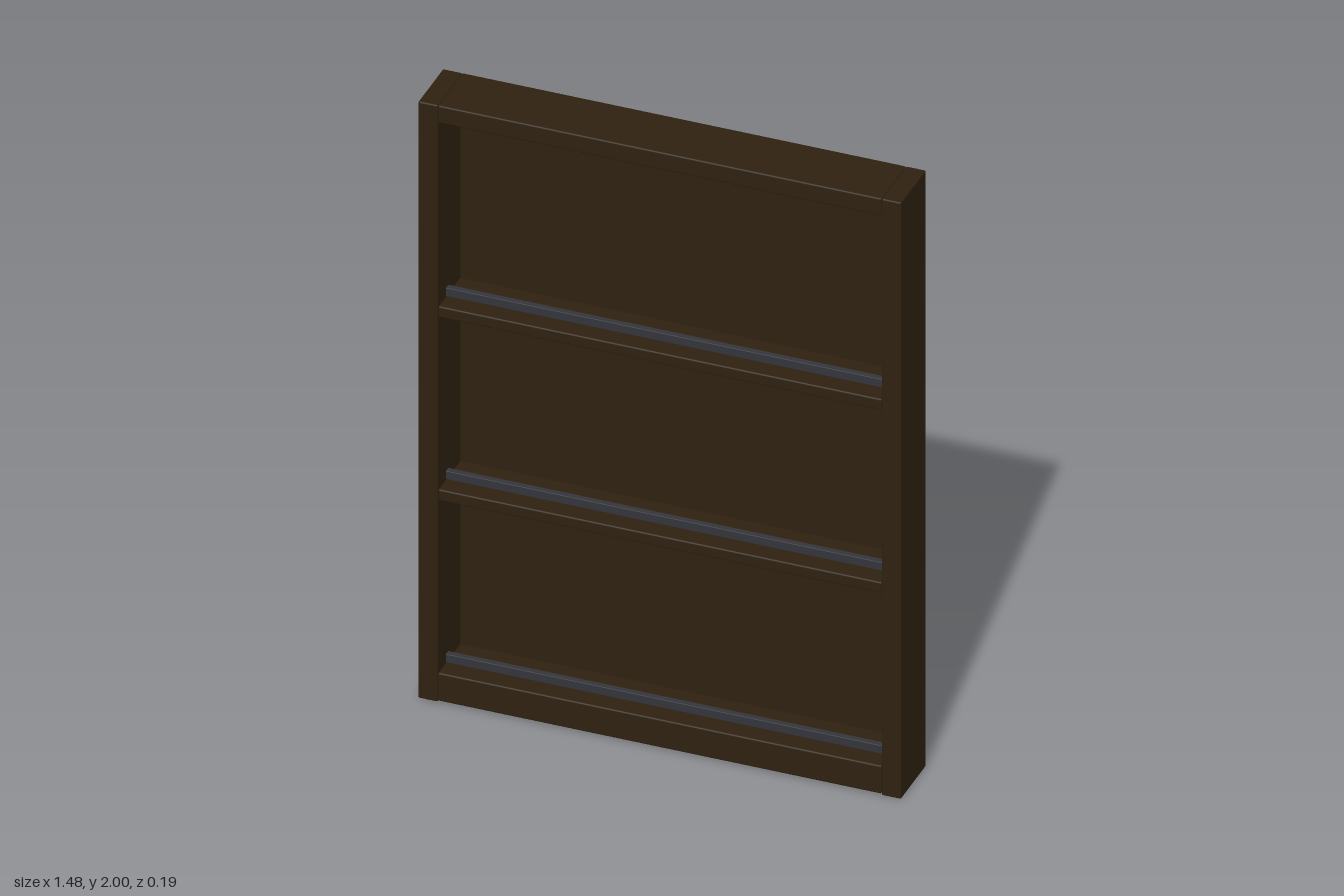
import * as THREE from 'three';
import { RoundedBoxGeometry } from 'three/addons/geometries/RoundedBoxGeometry.js';

export function createModel() {
  const group = new THREE.Group();
  const wood = new THREE.MeshStandardMaterial({ color: 0x2e2110 });
  wood.name = 'dark wood';
  const metal = new THREE.MeshStandardMaterial({ color: 0x33353a });
  metal.name = 'grey metal';

  // Softly edged board given by its limits on each axis
  function board(name, material, [x0, x1], [y0, y1], [z0, z1], radius = 0.005) {
    const geometry = new RoundedBoxGeometry(x1 - x0, y1 - y0, z1 - z0, 2, radius);
    const mesh = new THREE.Mesh(geometry, material);
    mesh.position.set((x0 + x1) / 2, (y0 + y1) / 2, (z0 + z1) / 2);
    mesh.name = name;
    group.add(mesh);
  }

  const inner = 0.68, outer = 0.74, depth = 0.096;
  const span = [-inner, inner];

  // Frame: two uprights, top rail and plinth
  board('leftSide', wood, [inner, outer], [0, 2], [-depth, depth]);
  board('rightSide', wood, [-outer, -inner], [0, 2], [-depth, depth]);
  board('topRail', wood, span, [1.942, 2], [-depth, depth]);
  board('plinth', wood, span, [0.004, 0.098], [-0.08, depth]);

  // Back panel, stopping just above the floor
  board('backPanel', wood, span, [0.022, 1.995], [-depth + 0.001, -0.073]);

  // Two shelves, and a retaining rail on each level
  const levels = [0.098, 0.712, 1.326];
  levels.forEach((top, i) => {
    if (i > 0) board('shelf' + i, wood, span, [top - 0.037, top], [-0.078, depth - 0.002]);
    board('retainingRail' + (i + 1), metal, span, [top, top + 0.028], [0.015, 0.035], 0.002);
  });

  return group;
}
